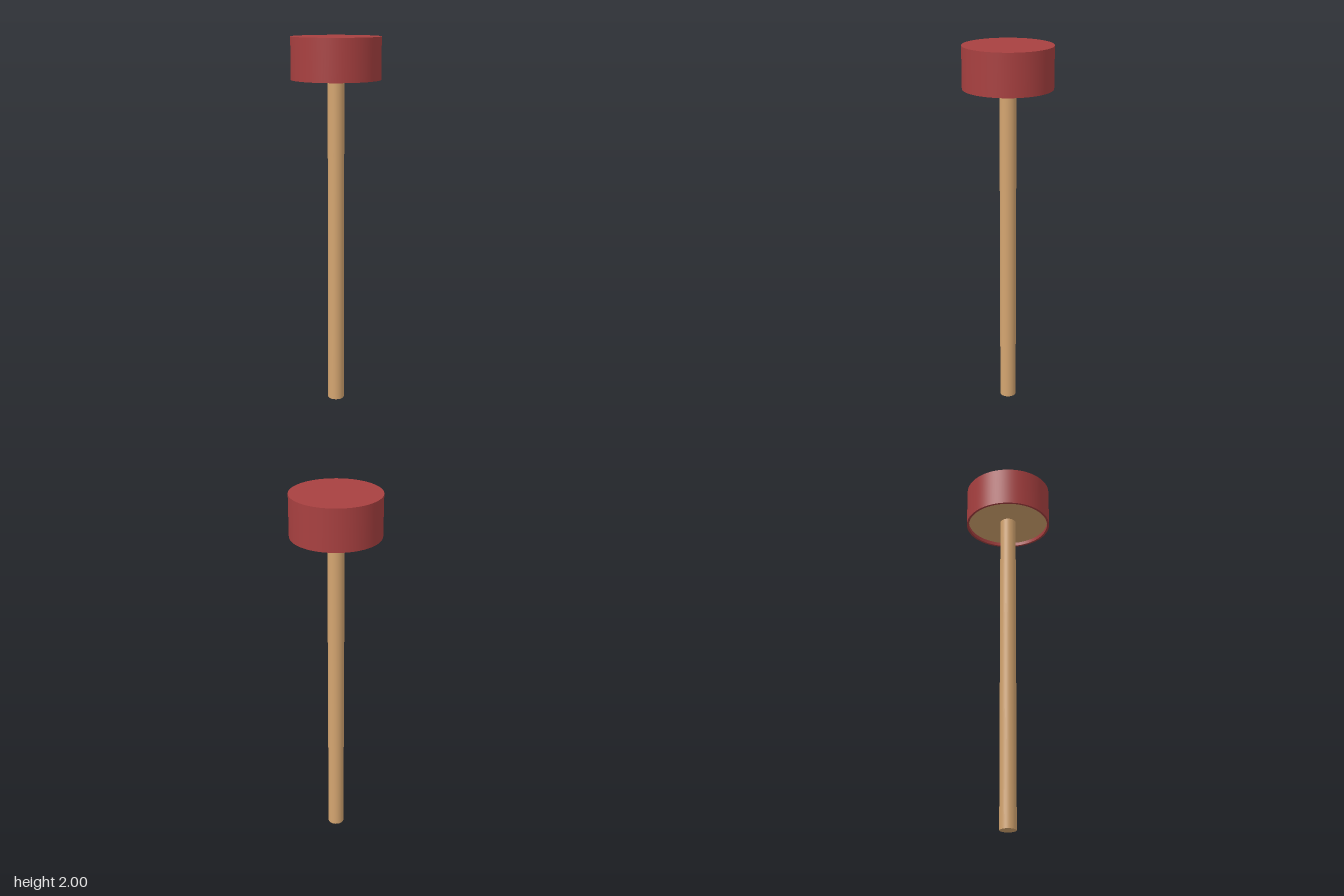
import * as THREE from 'three';

export function createModel() {
  const group = new THREE.Group();
  const red = new THREE.MeshStandardMaterial({ color: 0xa84040 });
  const wood = new THREE.MeshStandardMaterial({ color: 0xd4a570 });

  const add = (name, geometry, material, y) => {
    const mesh = new THREE.Mesh(geometry, material);
    mesh.name = name;
    mesh.position.y = y;
    group.add(mesh);
  };

  const R = 0.237, inner = 0.225, headBottom = 1.778, recess = 0.02;

  // Round handle standing on the ground, ending inside the head
  const handleTop = headBottom + recess + 0.01;
  add('handle', new THREE.CylinderGeometry(0.044, 0.044, handleTop, 48), wood, handleTop / 2);

  // Head: flat top, straight outer wall and a thin lip around the underside
  const top = new THREE.CircleGeometry(R, 96).rotateX(-Math.PI / 2);
  add('headTop', top, red, 2);
  add('headWall', new THREE.CylinderGeometry(R, R, 2 - headBottom, 96, 1, true), red, (2 + headBottom) / 2);
  add('headLip', new THREE.RingGeometry(inner, R, 96).rotateX(Math.PI / 2), red, headBottom);

  // Inner side of the lip, facing the axis
  const lipInside = new THREE.LatheGeometry(
    [new THREE.Vector2(inner, recess), new THREE.Vector2(inner, 0)], 96);
  add('headLipInside', lipInside, red, headBottom);

  // Wooden disc set slightly into the underside
  add('undersideDisc', new THREE.CircleGeometry(inner, 96).rotateX(Math.PI / 2), wood, headBottom + recess);

  return group;
}
